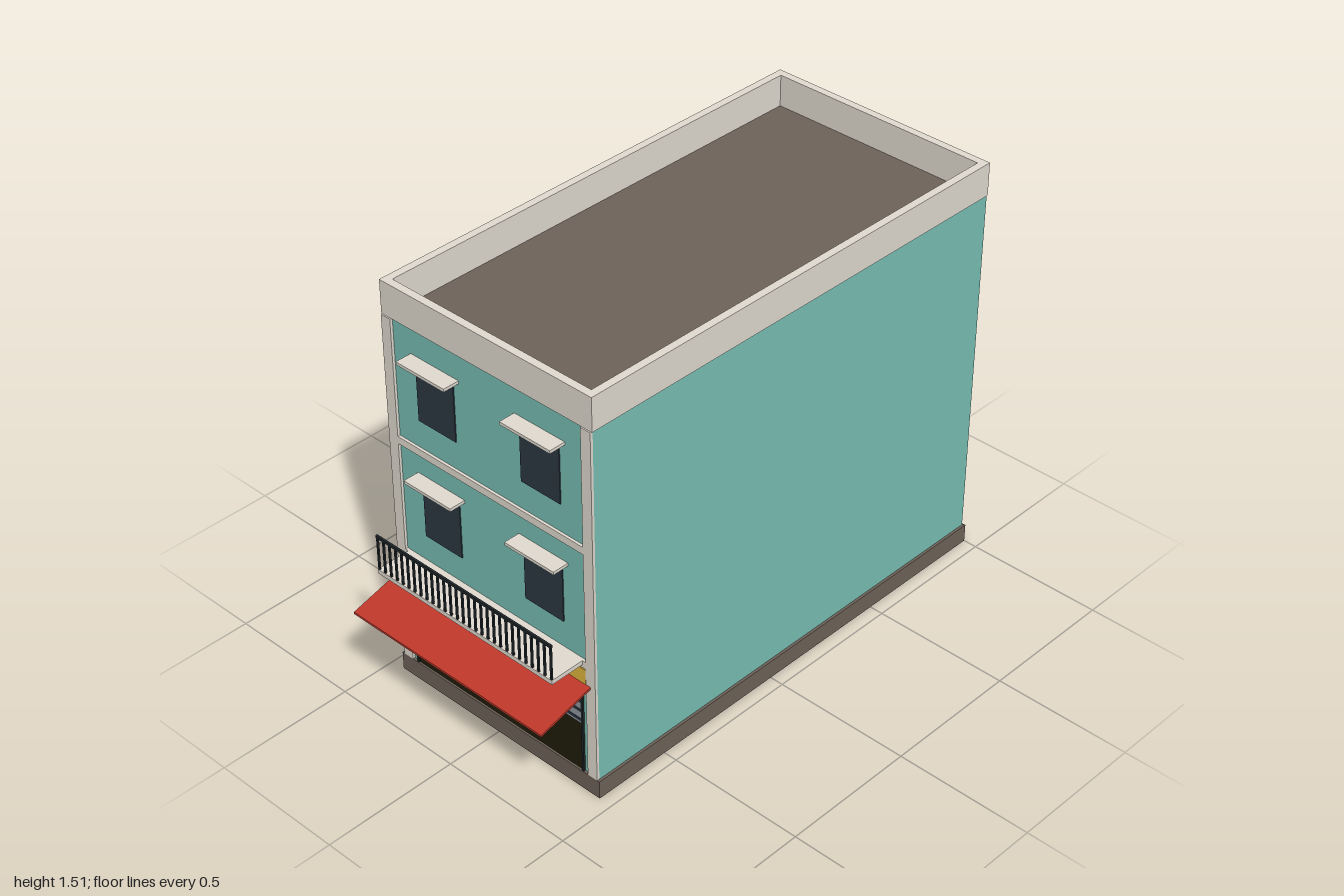
import * as THREE from 'three';

const mat = (name, color) => {
  const m = new THREE.MeshStandardMaterial({ color });
  m.name = name;
  return m;
};

export function createModel() {
  const teal = mat('teal plaster', 0x79c0b5);
  const trim = mat('pale stone', 0xe2dcd2);
  const brown = mat('brown stone', 0x6f635a);
  const glass = mat('dark glass', 0x2c3743);
  const iron = mat('black iron', 0x1f262a);
  const red = mat('red awning', 0xc0392b);
  const yellow = mat('yellow sign', 0xe2b83e);
  const steel = mat('grey shutter', 0x9098a1);
  const dark = mat('dark shop interior', 0x1f1d09);

  const root = new THREE.Group();
  root.name = 'townhouse';

  // Box given by its minimum and maximum on each axis
  const box = (name, material, x0, x1, y0, y1, z0, z1, parent = root) => {
    const mesh = new THREE.Mesh(new THREE.BoxGeometry(x1 - x0, y1 - y0, z1 - z0), material);
    mesh.position.set((x0 + x1) / 2, (y0 + y1) / 2, (z0 + z1) / 2);
    mesh.name = name;
    parent.add(mesh);
  };

  // Rectangular ring standing upright, with a given wall thickness
  const ring = (name, material, hx, z0, z1, y0, height, wall) => {
    const rect = (target, x, a, b) => {
      target.moveTo(-x, -b);
      target.lineTo(x, -b);
      target.lineTo(x, -a);
      target.lineTo(-x, -a);
      target.closePath();
      return target;
    };
    const shape = rect(new THREE.Shape(), hx, z0, z1);
    shape.holes.push(rect(new THREE.Path(), hx - wall, z0 + wall, z1 - wall));
    const geo = new THREE.ExtrudeGeometry(shape, { depth: height, bevelEnabled: false });
    geo.rotateX(-Math.PI / 2).translate(0, y0, 0);
    const mesh = new THREE.Mesh(geo, material);
    mesh.name = name;
    root.add(mesh);
  };

  // Main volume, hollow plinth, roof and parapet
  box('walls', teal, -0.44, 0.44, 0.066, 1.387, -0.994, 0.78);
  ring('plinth', brown, 0.45, -1, 0.79, 0, 0.068, 0.004);
  box('plinthSlab', brown, -0.447, 0.447, 0.06, 0.0675, -0.997, 0.787);
  box('roof', brown, -0.43, 0.43, 1.38, 1.391, -0.98, 0.77);
  ring('parapet', trim, 0.443, -0.995, 0.785, 1.386, 0.12, 0.028);

  // Facade trim: corner pilasters and floor bands
  for (const s of [-1, 1]) {
    const x = s * 0.42;
    box('pilaster', trim, x - 0.02, x + 0.02, 0.068, 1.386, 0.78, 0.79);
  }
  for (const y of [0.493, 0.93]) box('floorBand', trim, -0.4, 0.4, y, y + 0.027, 0.78, 0.79);

  // Windows with projecting hoods at the front, plain windows at the back
  for (const s of [-1, 1]) {
    const x = s * 0.222;
    for (const y of [0.62, 1.06]) {
      box('frontWindow', glass, x - 0.082, x + 0.082, y, y + 0.203, 0.78, 0.784);
      box('windowHood', trim, x - 0.104, x + 0.104, y + 0.222, y + 0.233, 0.78, 0.84);
    }
    for (const y of [0.64, 1.08]) {
      box('backWindow', glass, s * 0.22 - 0.073, s * 0.22 + 0.073, y, y + 0.173, -1, -0.994);
    }
  }

  // Shopfront with a half-raised shutter
  box('shopOpening', dark, -0.38, 0.38, 0.068, 0.435, 0.78, 0.783);
  box('shutter', steel, -0.373, 0.373, 0.258, 0.435, 0.783, 0.786);
  for (let i = 0; i < 5; i++) {
    const y = 0.268 + i * 0.037;
    box('shutterGroove', glass, -0.373, 0.373, y, y + 0.01, 0.786, 0.788);
  }
  for (const s of [-1, 1]) {
    box('shopFrame', iron, s * 0.377 - 0.004, s * 0.377 + 0.004, 0.068, 0.435, 0.783, 0.788);
  }
  box('signBoard', yellow, -0.4, 0.4, 0.433, 0.49, 0.78, 0.791);

  // Sloping awning
  const profile = new THREE.Shape();
  profile.moveTo(-0.785, 0.427);
  profile.lineTo(-1, 0.369);
  profile.lineTo(-1, 0.377);
  profile.lineTo(-0.785, 0.435);
  profile.closePath();
  const awningGeo = new THREE.ExtrudeGeometry(profile, { depth: 0.84, bevelEnabled: false });
  awningGeo.rotateY(Math.PI / 2).translate(-0.42, 0, 0);
  const awning = new THREE.Mesh(awningGeo, red);
  awning.name = 'awning';
  root.add(awning);

  // Balcony with railing
  const balcony = new THREE.Group();
  balcony.name = 'balcony';
  root.add(balcony);
  box('balconySlab', trim, -0.387, 0.387, 0.504, 0.52, 0.78, 0.918, balcony);
  box('topRail', iron, -0.387, 0.387, 0.643, 0.653, 0.91, 0.918, balcony);
  const count = 29;
  for (let i = 0; i < count; i++) {
    const x = -0.382 + (0.764 * i) / (count - 1);
    box('baluster', iron, x - 0.0035, x + 0.0035, 0.52, 0.645, 0.911, 0.917, balcony);
  }

  return root;
}
